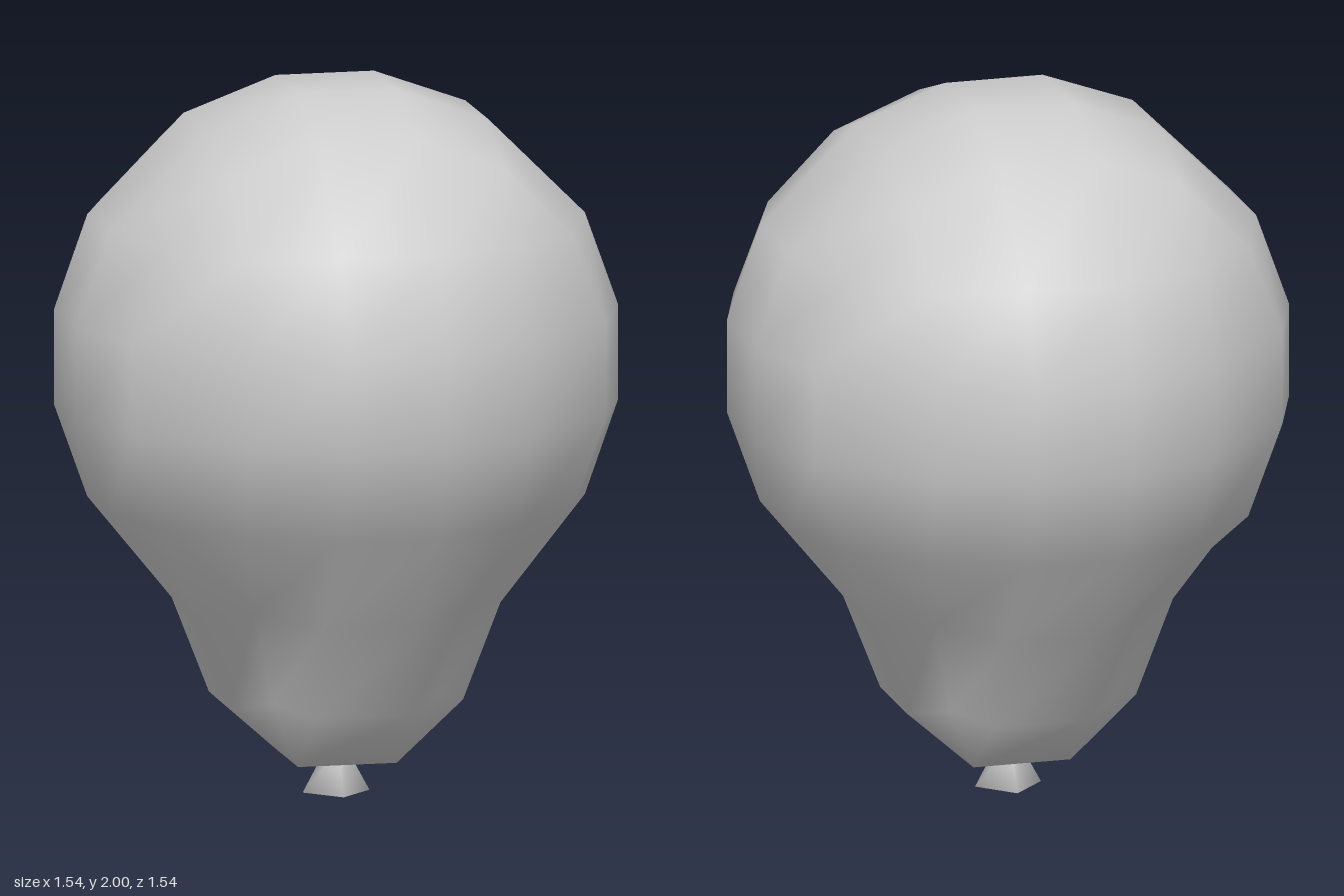
import * as THREE from 'three';
import { mergeVertices } from 'three/addons/utils/BufferGeometryUtils.js';

const material = new THREE.MeshStandardMaterial({ color: 0xcccccc });

// Rings from the mouth up. Each has four equal sides of four points:
// two middle points (half width, depth, height) and two corner points.
const RINGS = [
  { mid: [0.14, 0.14, 0.10], corner: [0.14, 0.14, 0.10] },
  { mid: [0.135, 0.33, 0.27], corner: [0.235, 0.235, 0.30] },
  { mid: [0.14, 0.435, 0.54], corner: [0.30, 0.30, 0.57] },
  { mid: [0.14, 0.675, 0.835], corner: [0.39, 0.58, 0.84] },
  { mid: [0.14, 0.77, 1.10], corner: [0.40, 0.675, 1.10] },
  { mid: [0.14, 0.77, 1.365], corner: [0.40, 0.675, 1.365] },
  { mid: [0.14, 0.675, 1.63], corner: [0.39, 0.58, 1.62] },
  { mid: [0.14, 0.40, 1.905], corner: [0.39, 0.39, 1.81] },
  { mid: [0.14, 0.14, 2.0], corner: [0.14, 0.14, 2.0] },
];

function ringPoints({ mid, corner }) {
  const side = [
    [-corner[0], corner[2], corner[1]],
    [-mid[0], mid[2], mid[1]],
    [mid[0], mid[2], mid[1]],
    [corner[0], corner[2], corner[1]],
  ];
  const points = [];
  for (let s = 0; s < 4; s++) {
    for (const p of side) {
      let [x, y, z] = p;
      for (let k = 0; k < s; k++) [x, z] = [z, -x]; // quarter turns
      points.push(x, y, z);
    }
  }
  return points;
}

function envelopeGeometry() {
  const n = 16;
  const positions = RINGS.flatMap(ringPoints);
  const index = [];
  for (let r = 0; r < RINGS.length - 1; r++) {
    for (let j = 0; j < n; j++) {
      const a = r * n + j, b = r * n + ((j + 1) % n);
      index.push(a, b, b + n, a, b + n, a + n);
    }
  }
  // square caps on the crown and the mouth
  const t = (RINGS.length - 1) * n;
  index.push(t, t + 4, t + 8, t, t + 8, t + 12);
  index.push(0, 8, 4, 0, 12, 8);

  const geometry = new THREE.BufferGeometry();
  geometry.setAttribute('position', new THREE.Float32BufferAttribute(positions, 3));
  geometry.setIndex(index);
  const merged = mergeVertices(geometry, 1e-4);
  // drop triangles collapsed where ring corners meet
  const kept = [], m = merged.index.array;
  for (let i = 0; i < m.length; i += 3) {
    const [a, b, c] = [m[i], m[i + 1], m[i + 2]];
    if (a !== b && b !== c && a !== c) kept.push(a, b, c);
  }
  merged.setIndex(kept);
  merged.computeVertexNormals();
  return merged;
}

// Four-sided flared knot with shared, smooth normals
function knotGeometry() {
  const geometry = new THREE.CylinderGeometry(0.03, 0.095, 0.12, 4);
  geometry.translate(0, 0.06, 0);
  geometry.deleteAttribute('normal');
  geometry.deleteAttribute('uv');
  const merged = mergeVertices(geometry, 1e-4);
  merged.computeVertexNormals();
  return merged;
}

export function createModel() {
  const group = new THREE.Group();
  group.name = 'balloon';

  const envelope = new THREE.Mesh(envelopeGeometry(), material);
  envelope.name = 'envelope';

  const knot = new THREE.Mesh(knotGeometry(), material);
  knot.name = 'knot';

  group.add(envelope, knot);
  return group;
}
